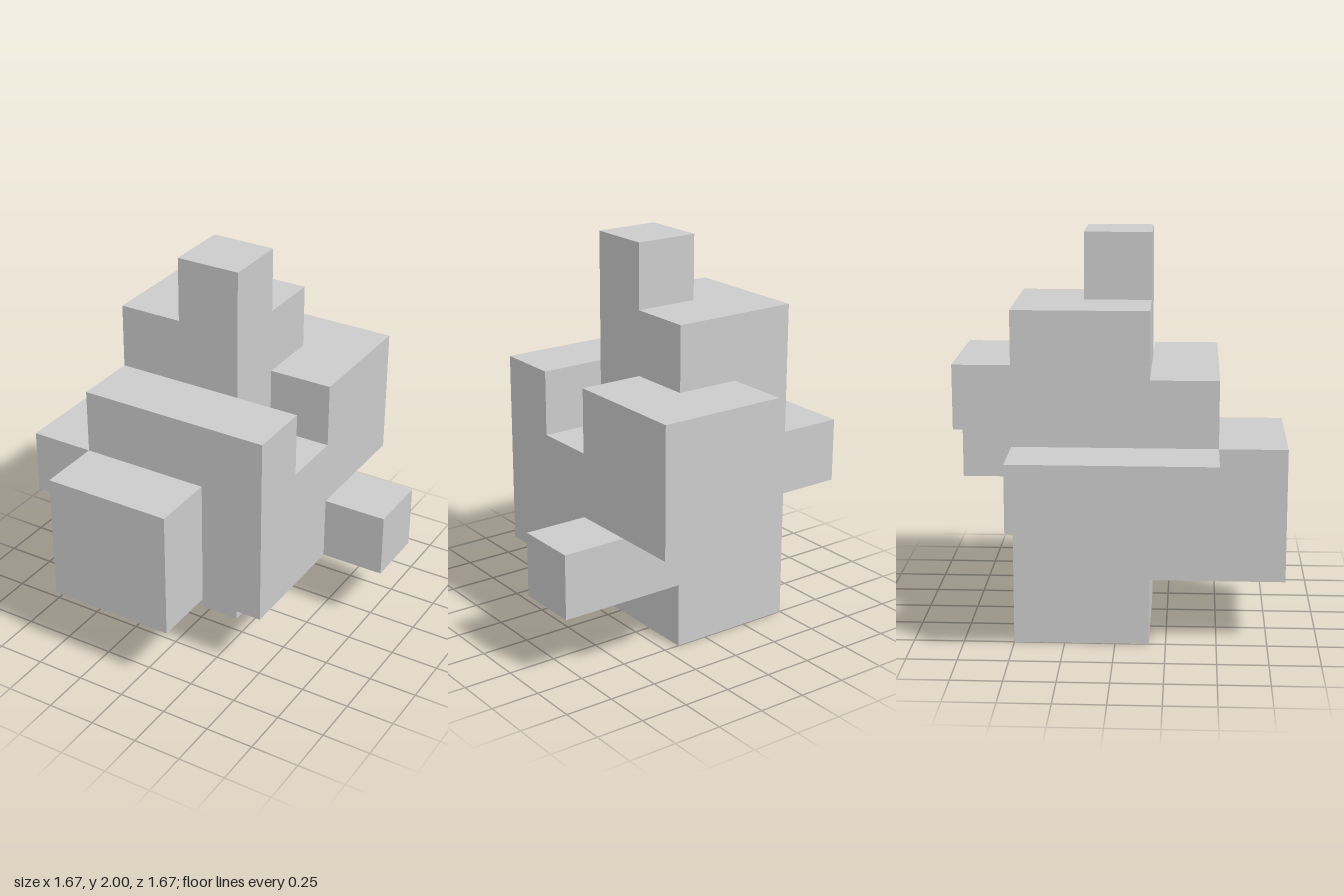
import * as THREE from 'three';
import { mergeGeometries } from 'three/addons/utils/BufferGeometryUtils.js';

const U = 1 / 3; // cube edge: the model is 5 x 6 x 5 cubes

// Each part is a list of blocks [x0, x1, y0, y1, z0, z1], inclusive cube indices
// (x and z run from -2 to 2, y from 0 to 5).
const PARTS = {
  base: [[-1, 0, 0, 0, -1, 0]],
  core: [
    [-1, 1, 1, 2, -1, 1],
    [-1, 0, 3, 3, -1, 1], // upper layer, leaving a notch on the +x side
    [1, 1, 3, 3, -1, -1],
    [1, 1, 3, 3, 1, 1],
  ],
  frontPanel: [[-1, 0, 1, 2, 2, 2]],
  backHook: [[0, 1, 3, 3, -2, -2], [1, 1, 2, 2, -2, -2]],
  rightBar: [[-2, -2, 2, 2, -1, 1]],
  leftStub: [[2, 2, 1, 1, -1, -1]],
  upperBlock: [[-1, 0, 4, 4, -1, 0]],
  topCube: [[0, 0, 5, 5, 0, 0]],
};

// Outward directions with the rotation that turns a +z plane towards them
const SIDES = [
  [1, 0, 0, 0, Math.PI / 2],
  [-1, 0, 0, 0, -Math.PI / 2],
  [0, 1, 0, -Math.PI / 2, 0],
  [0, -1, 0, Math.PI / 2, 0],
  [0, 0, 1, 0, 0],
  [0, 0, -1, 0, Math.PI],
];

const key = (x, y, z) => `${x},${y},${z}`;

function cubesOf(blocks) {
  const cubes = [];
  for (const [x0, x1, y0, y1, z0, z1] of blocks)
    for (let x = x0; x <= x1; x++)
      for (let y = y0; y <= y1; y++)
        for (let z = z0; z <= z1; z++) cubes.push([x, y, z]);
  return cubes;
}

export function createModel() {
  const group = new THREE.Group();
  group.name = 'cubePuzzle';
  const material = new THREE.MeshStandardMaterial({ color: 0xcccccc, flatShading: true });
  const filled = new Set(cubesOf(Object.values(PARTS).flat()).map((c) => key(...c)));

  for (const [name, blocks] of Object.entries(PARTS)) {
    // Only the exposed cube faces are built, so the parts join into one closed skin
    const faces = [];
    for (const [x, y, z] of cubesOf(blocks))
      for (const [dx, dy, dz, rx, ry] of SIDES) {
        if (filled.has(key(x + dx, y + dy, z + dz))) continue;
        const face = new THREE.PlaneGeometry(U, U);
        face.rotateX(rx).rotateY(ry);
        face.translate((x + dx / 2) * U, (y + 0.5 + dy / 2) * U, (z + dz / 2) * U);
        faces.push(face);
      }
    const mesh = new THREE.Mesh(mergeGeometries(faces), material);
    mesh.name = name;
    group.add(mesh);
  }
  return group;
}
